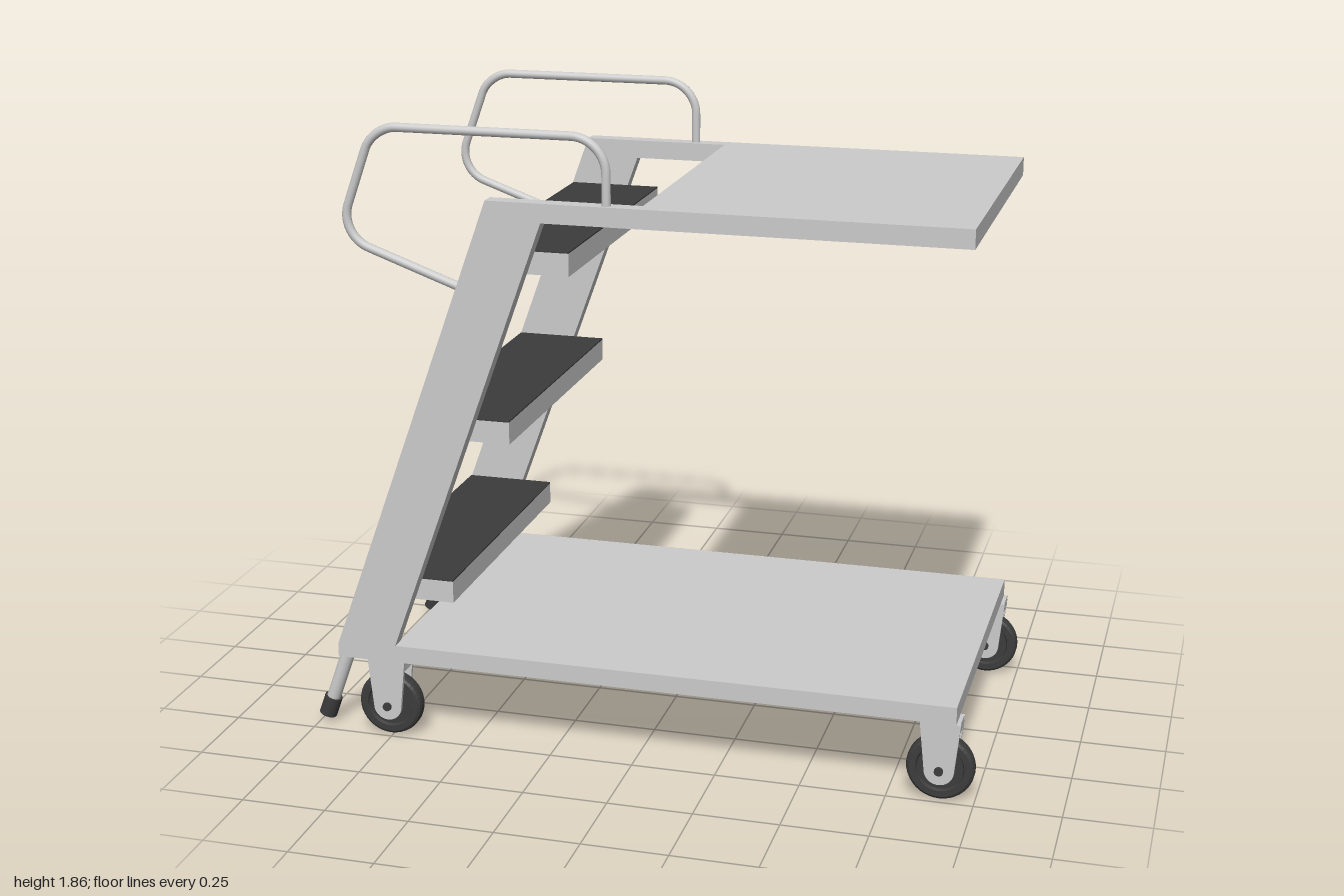
import * as THREE from 'three';

const grey = new THREE.MeshStandardMaterial({ color: 0xcccccc });
const dark = new THREE.MeshStandardMaterial({ color: 0x3c3c3c });

function add(parent, name, geometry, material = grey, x = 0, y = 0, z = 0) {
  const mesh = new THREE.Mesh(geometry, material);
  mesh.name = name;
  mesh.position.set(x, y, z);
  parent.add(mesh);
  return mesh;
}

// Extrudes an outline along z, centred on z = 0
function plate(shape, depth) {
  const geo = new THREE.ExtrudeGeometry(shape, { depth, bevelEnabled: false, curveSegments: 16 });
  return geo.translate(0, 0, -depth / 2);
}

const outline = (pts) => new THREE.Shape(pts.map(([x, y]) => new THREE.Vector2(x, y)));

// Box given by its x and y ranges and its depth
function slab(parent, name, x0, x1, y0, y1, depth, material) {
  add(parent, name, new THREE.BoxGeometry(x1 - x0, y1 - y0, depth), material, (x0 + x1) / 2, (y0 + y1) / 2, 0);
}

// Polyline with rounded corners in the xy plane
function roundedPath(pts, bends) {
  const path = new THREE.CurvePath();
  const v = pts.map(([x, y]) => new THREE.Vector3(x, y, 0));
  let from = v[0];
  for (let i = 1; i < v.length - 1; i++) {
    const inDir = v[i].clone().sub(v[i - 1]).normalize();
    const outDir = v[i + 1].clone().sub(v[i]).normalize();
    const a = v[i].clone().addScaledVector(inDir, -bends[i - 1]);
    const b = v[i].clone().addScaledVector(outDir, bends[i - 1]);
    // cubic handles give a near circular bend
    const k = bends[i - 1] * 0.55;
    path.add(new THREE.LineCurve3(from, a));
    path.add(new THREE.CubicBezierCurve3(a, a.clone().addScaledVector(inDir, k), b.clone().addScaledVector(outDir, -k), b));
    from = b;
  }
  path.add(new THREE.LineCurve3(from, v[v.length - 1]));
  return path;
}

function createCaster() {
  const caster = new THREE.Group();
  caster.name = 'caster';

  // Wheel with a rounded tread and a stepped hub
  const half = [[0.001, 0.021], [0.034, 0.021], [0.038, 0.015], [0.066, 0.015], [0.07, 0.023], [0.088, 0.023], [0.095, 0.018], [0.098, 0.009]];
  const profile = [...half, ...half.slice().reverse().map(([r, h]) => [r, -h])].reverse();
  const wheel = new THREE.LatheGeometry(profile.map(([r, h]) => new THREE.Vector2(r, h)), 40);
  wheel.rotateX(Math.PI / 2);
  const tire = dark.clone();
  tire.flatShading = true;
  add(caster, 'wheel', wheel, tire);

  // Tapered fork plates, joined by a bridge above the wheel
  const cheek = new THREE.Shape();
  cheek.moveTo(-0.058, 0.146);
  cheek.lineTo(-0.043, 0);
  cheek.absarc(0, 0, 0.043, Math.PI, Math.PI * 2, false);
  cheek.lineTo(0.058, 0.146);
  for (const s of [-1, 1]) add(caster, 'forkPlate', plate(cheek, 0.011), grey, 0, 0, s * 0.035);
  add(caster, 'forkBridge', new THREE.BoxGeometry(0.112, 0.03, 0.07), grey, 0, 0.131, 0);

  const axle = new THREE.CylinderGeometry(0.013, 0.013, 0.096, 16).rotateX(Math.PI / 2);
  add(caster, 'axle', axle, dark);
  return caster;
}

export function createModel() {
  const model = new THREE.Group();
  model.name = 'stepTrolley';

  // Decks: the upper one is notched for the climber
  slab(model, 'lowerDeck', -0.725, 0.945, 0.247, 0.3, 1.008);
  const deck = outline([
    [-0.41, -0.504], [0.945, -0.504], [0.945, 0.504], [-0.41, 0.504],
    [-0.41, 0.457], [0.03, 0.457], [0.03, -0.457], [-0.41, -0.457],
  ]);
  add(model, 'upperDeck', plate(deck, 0.055).rotateX(Math.PI / 2), grey, 0, 1.6325, 0);

  // Steps with dark treads
  for (let i = 0; i < 3; i++) {
    const x = -0.83 + i * 0.185;
    const top = 0.507 + i * 0.505;
    slab(model, 'step', x, x + 0.275, top - 0.07, top - 0.004, 0.914);
    slab(model, 'tread', x, x + 0.275, top - 0.004, top, 0.914, dark);
  }

  const stringer = outline([
    [-0.907, 0.247], [-0.725, 0.247], [-0.725, 0.3], [-0.25, 1.605],
    [-0.41, 1.605], [-0.41, 1.66], [-0.907, 0.287],
  ]);
  const rail = roundedPath(
    [[-0.067, 1.64], [-0.067, 1.847], [-0.743, 1.847], [-0.856, 1.533], [-0.47, 1.394]],
    [0.1, 0.07, 0.095],
  );
  const lean = -Math.atan(0.361);

  for (const s of [-1, 1]) {
    // Sloping side and handrail
    add(model, 'stringer', plate(stringer, 0.047), grey, 0, 0, s * 0.4805);
    add(model, 'handrail', new THREE.TubeGeometry(rail, 160, 0.013, 12, false), grey, 0, 0, s * 0.482);

    // Support leg with a rubber foot
    const leg = new THREE.Group();
    leg.name = 'supportLeg';
    leg.position.set(-0.967, 0.056, s * 0.441);
    leg.rotation.z = lean;
    add(leg, 'rod', new THREE.CylinderGeometry(0.021, 0.021, 0.39, 20), grey, 0, 0.197, 0);
    add(leg, 'rubberFoot', new THREE.CylinderGeometry(0.027, 0.027, 0.062, 20), dark);
    model.add(leg);

    for (const x of [-0.757, 0.9]) {
      const caster = createCaster();
      caster.position.set(x, 0.101, s * 0.463);
      model.add(caster);
    }
  }
  return model;
}
